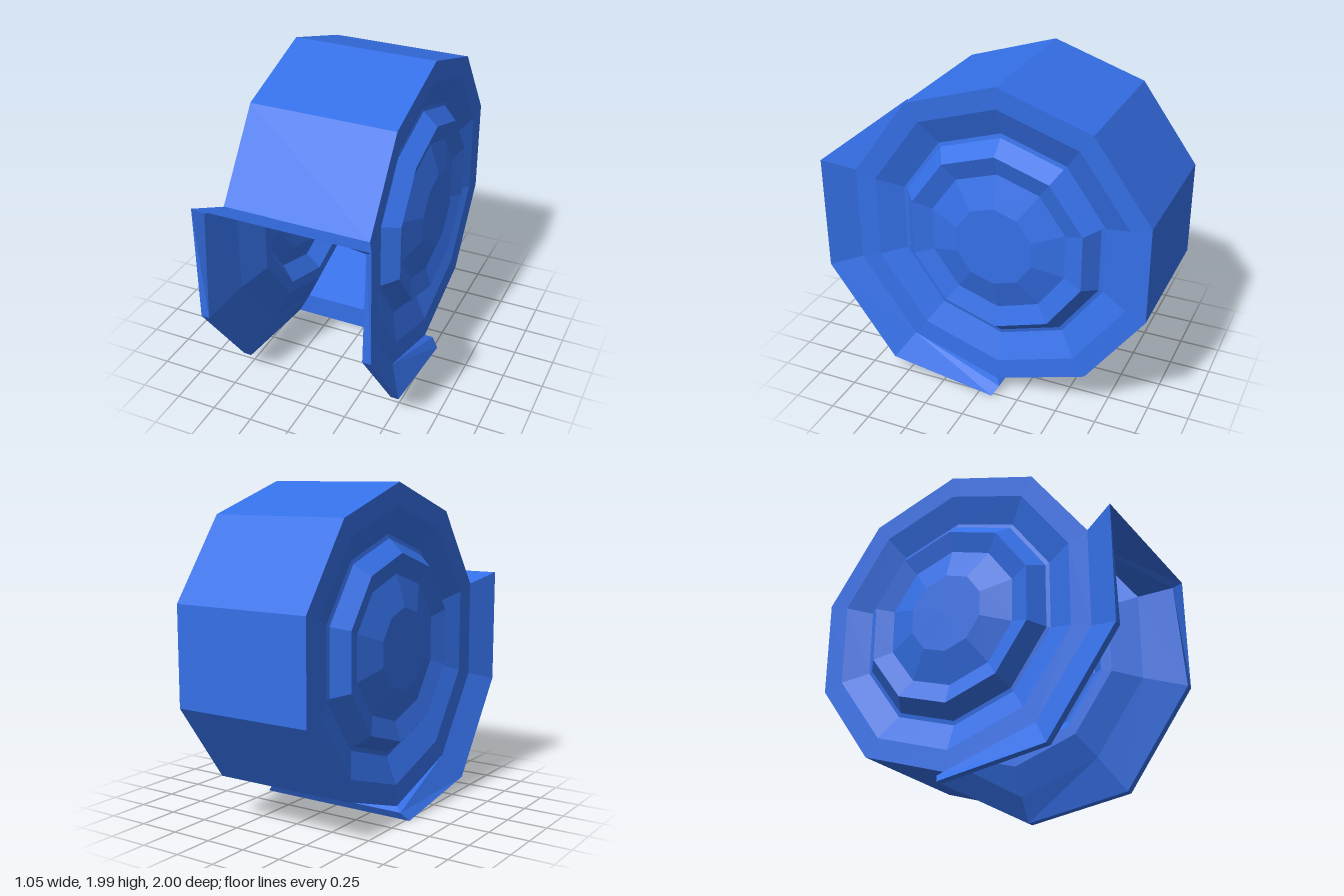
import * as THREE from 'three';

const CY = 1.03, CZ = -0.09;
const material = new THREE.MeshStandardMaterial({
  color: 0x3570e8, flatShading: true, side: THREE.DoubleSide,
});

// Corner k of a ten-sided ring; k = 0 is the top, k grows toward the front.
const P = (r, k, x) => {
  const a = k * Math.PI / 5;
  return [x, CY + r * Math.cos(a), CZ + r * Math.sin(a)];
};
const ring = (r, x, from, to) => {
  const out = [];
  for (let k = from; k <= to; k++) out.push(P(r, k, x));
  return out;
};
// Quads between two rows of points.
const strip = (a, b) => a.slice(1).map((p, i) => [a[i], p, b[i + 1], b[i]]);
// Mirror points and faces across x; faces also reverse their corner order.
const flip = ([x, y, z]) => [-x, y, z];
const mirror = faces => faces.map(f => f.map(flip).reverse());

function mesh(name, faces) {
  const pos = [];
  for (const f of faces)
    for (let i = 2; i < f.length; i++) pos.push(...f[0], ...f[i - 1], ...f[i]);
  const g = new THREE.BufferGeometry();
  g.setAttribute('position', new THREE.Float32BufferAttribute(pos, 3));
  g.computeVertexNormals();
  const m = new THREE.Mesh(g, material);
  m.name = name;
  return m;
}

export function createModel() {
  const group = new THREE.Group();
  group.name = 'openDrum';
  const RO = 0.955, XO = 0.437, RI = 0.885, XI = 0.40;

  // Stepped side plates: [radius, x] profiles of the outer and inner skins
  const outer = [[RO, XO], [0.825, 0.43], [0.66, 0.365], [0.635, 0.37], [0.555, 0.46],
    [0.435, 0.422], [0.245, 0.48], [0, 0.48]];
  const inner = [[RI, XI], [0.71, 0.32], [0.635, 0.32], [0.55, 0.41], [0.43, 0.38],
    [0.245, 0.43], [0, 0.43]];
  const plate = [];
  for (let i = 1; i < outer.length; i++)
    plate.push(...strip(ring(...outer[i - 1], 0, 10), ring(...outer[i], 0, 10)));
  for (let i = 1; i < inner.length; i++)
    plate.push(...strip(ring(...inner[i], 0, 10), ring(...inner[i - 1], 0, 10)));
  group.add(mesh('leftSidePlate', plate), mesh('rightSidePlate', mirror(plate)));

  // Outer band, leaving three sides open at the lower front
  group.add(mesh('band', [
    ...strip(ring(RO, -XO, 5, 12), ring(RO, XO, 5, 12)),
    ...strip(ring(RI, XI, 5, 12), ring(RI, -XI, 5, 12)),
  ]));

  // Flared side walls of the mouth, with a thick rim
  const rimOut = [[0.525, 1.39, 1.0], [0.525, 0.68, 1.0], [0.525, 0.10, 0.58], [0.525, 0, -0.09]];
  const rimIn = [[0.475, 1.345, 0.955], [0.475, 0.68, 1.0], [0.475, 0.10, 0.58], [0.475, 0, -0.09]];
  const tail = [0.48, 0.05, -0.12];
  const flare = [
    ...strip(rimOut.slice(0, 3), ring(RO, XO, 2, 4)),
    [P(RO, 4, XO), rimOut[2], rimOut[3], tail],
    [P(RO, 4, XO), tail, P(RO, 5, XO)],
    ...strip(rimIn, rimOut),
    ...strip(ring(RI, XI, 2, 5), rimIn),
  ];
  group.add(mesh('leftMouthFlare', flare), mesh('rightMouthFlare', mirror(flare)));

  // Upper and lower lips closing the ends of the mouth
  group.add(mesh('upperLip', [
    [P(RO, 2, -XO), flip(rimOut[0]), rimOut[0], P(RO, 2, XO)],
    [P(RI, 2, -XI), P(RI, 2, XI), rimIn[0], rimOut[0], flip(rimOut[0]), flip(rimIn[0])],
  ]));
  group.add(mesh('lowerLip', [
    [P(RO, 5, XO), tail, flip(tail), P(RO, 5, -XO)],
    [tail, rimOut[3], flip(rimOut[3]), flip(tail)],
    [flip(rimIn[3]), rimIn[3], P(RI, 5, XI), P(RI, 5, -XI)],
  ]));
  return group;
}
